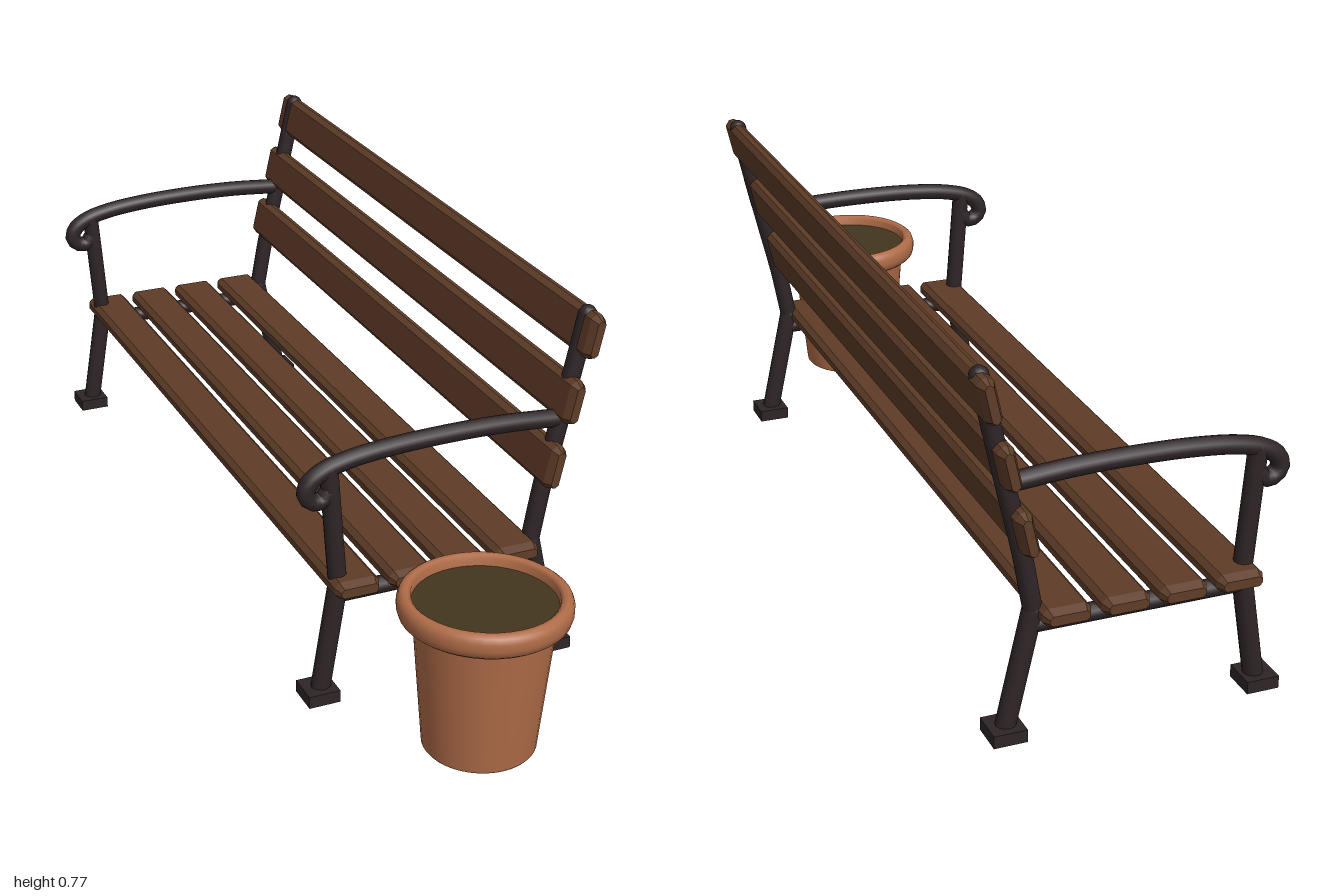
import * as THREE from 'three';

const wood = new THREE.MeshStandardMaterial({ color: 0x5e3c27 });
wood.name = 'brown wood';
const iron = new THREE.MeshStandardMaterial({ color: 0x2e2426 });
iron.name = 'dark iron';
const clay = new THREE.MeshStandardMaterial({ color: 0xb06c48 });
clay.name = 'terracotta';
const soil = new THREE.MeshStandardMaterial({ color: 0x43361f });
soil.name = 'soil';

const FRAME_Z = [0.56, -0.945];
const SLAT_FRONT = 0.615, SLAT_BACK = -1;

function add(parent, name, geometry, material, x = 0, y = 0, z = 0) {
  const mesh = new THREE.Mesh(geometry, material);
  mesh.name = name;
  mesh.position.set(x, y, z);
  parent.add(mesh);
  return mesh;
}

// Plank running along z with chamfered long edges and ends
function slatGeometry(width, thickness) {
  const bevel = 0.008, cut = 0.006;
  const w = width / 2 - bevel, t = thickness / 2 - bevel;
  const shape = new THREE.Shape([
    [-w + cut, -t], [w - cut, -t], [w, -t + cut], [w, t - cut],
    [w - cut, t], [-w + cut, t], [-w, t - cut], [-w, -t + cut],
  ].map(([x, y]) => new THREE.Vector2(x, y)));
  const end = 0.018, length = SLAT_FRONT - SLAT_BACK;
  const g = new THREE.ExtrudeGeometry(shape, {
    depth: length - 2 * end, bevelEnabled: true,
    bevelSize: bevel, bevelThickness: end, bevelSegments: 1,
  });
  return g.translate(0, 0, end - length / 2);
}

// Round iron bar through x, y points, with domed ends
function bar(parent, name, points, radius, segments) {
  const group = new THREE.Group();
  group.name = name;
  const path = points.map(([x, y]) => new THREE.Vector3(x, y, 0));
  const curve = path.length === 2
    ? new THREE.LineCurve3(path[0], path[1])
    : new THREE.CatmullRomCurve3(path, false, 'centripetal');
  add(group, name + 'Tube', new THREE.TubeGeometry(curve, segments, radius, 12), iron);
  for (const p of [path[0], path[path.length - 1]]) {
    add(group, name + 'End', new THREE.SphereGeometry(radius, 12, 8), iron, p.x, p.y, 0);
  }
  parent.add(group);
}

function createFrame(z) {
  const frame = new THREE.Group();
  frame.name = 'sideFrame';
  frame.position.z = z;
  bar(frame, 'frontLeg', [[-0.275, 0.023], [-0.235, 0.265]], 0.02, 1);
  bar(frame, 'armPost', [[-0.235, 0.265], [-0.254, 0.522]], 0.019, 1);
  bar(frame, 'rearLeg', [[0.244, 0.023], [0.19, 0.275]], 0.02, 1);
  bar(frame, 'backPost', [[0.19, 0.275], [0.214, 0.4], [0.238, 0.5], [0.264, 0.61], [0.297, 0.752]], 0.019, 16);
  bar(frame, 'seatRail', [[-0.235, 0.245], [0.19, 0.245]], 0.018, 1);
  // Arched armrest ending in a scroll
  bar(frame, 'armrest', [
    [0.24, 0.538], [0.12, 0.547], [0, 0.549], [-0.12, 0.545], [-0.21, 0.535],
    [-0.265, 0.52], [-0.294, 0.5], [-0.302, 0.477], [-0.288, 0.459], [-0.266, 0.459], [-0.255, 0.474],
  ], 0.0185, 48);
  for (const x of [-0.277, 0.243]) {
    add(frame, 'footPlate', new THREE.BoxGeometry(0.067, 0.026, 0.07), iron, x, 0.03, 0);
  }
  return frame;
}

function createPot() {
  const pot = new THREE.Group();
  pot.name = 'flowerPot';
  pot.position.set(-0.055, 0.018, 0.83);
  pot.rotation.z = -0.015;
  const profile = (pts) => pts.map(([r, y]) => new THREE.Vector2(r, y));
  add(pot, 'potBase', new THREE.CircleGeometry(0.108, 40).rotateX(Math.PI / 2), clay);
  add(pot, 'potBody', new THREE.LatheGeometry(profile([
    [0.108, 0], [0.112, 0.005], [0.138, 0.285],
  ]), 40), clay);
  // Rounded rim turned over into the inner wall
  add(pot, 'potRim', new THREE.LatheGeometry(profile([
    [0.137, 0.282], [0.155, 0.28], [0.164, 0.287], [0.168, 0.3], [0.168, 0.315],
    [0.164, 0.326], [0.156, 0.332], [0.147, 0.331], [0.141, 0.325], [0.139, 0.3],
  ]), 40), clay);
  add(pot, 'soilSurface', new THREE.CircleGeometry(0.1405, 40).rotateX(-Math.PI / 2), soil, 0, 0.31, 0);
  return pot;
}

export function createModel() {
  const model = new THREE.Group();
  model.name = 'benchWithPot';
  const middle = (SLAT_FRONT + SLAT_BACK) / 2;

  const seat = slatGeometry(0.095, 0.036);
  for (const x of [-0.21, -0.094, 0.022, 0.139]) {
    add(model, 'seatSlat', seat, wood, x, 0.273, middle);
  }

  // Backrest slats follow the lean of the posts
  const back = slatGeometry(0.092, 0.033);
  for (const [x, y] of [[0.218, 0.449], [0.254, 0.584], [0.292, 0.718]]) {
    add(model, 'backSlat', back, wood, x, y, middle).rotation.z = Math.PI / 2 - 0.23;
  }

  for (const z of FRAME_Z) model.add(createFrame(z));
  model.add(createPot());
  return model;
}
